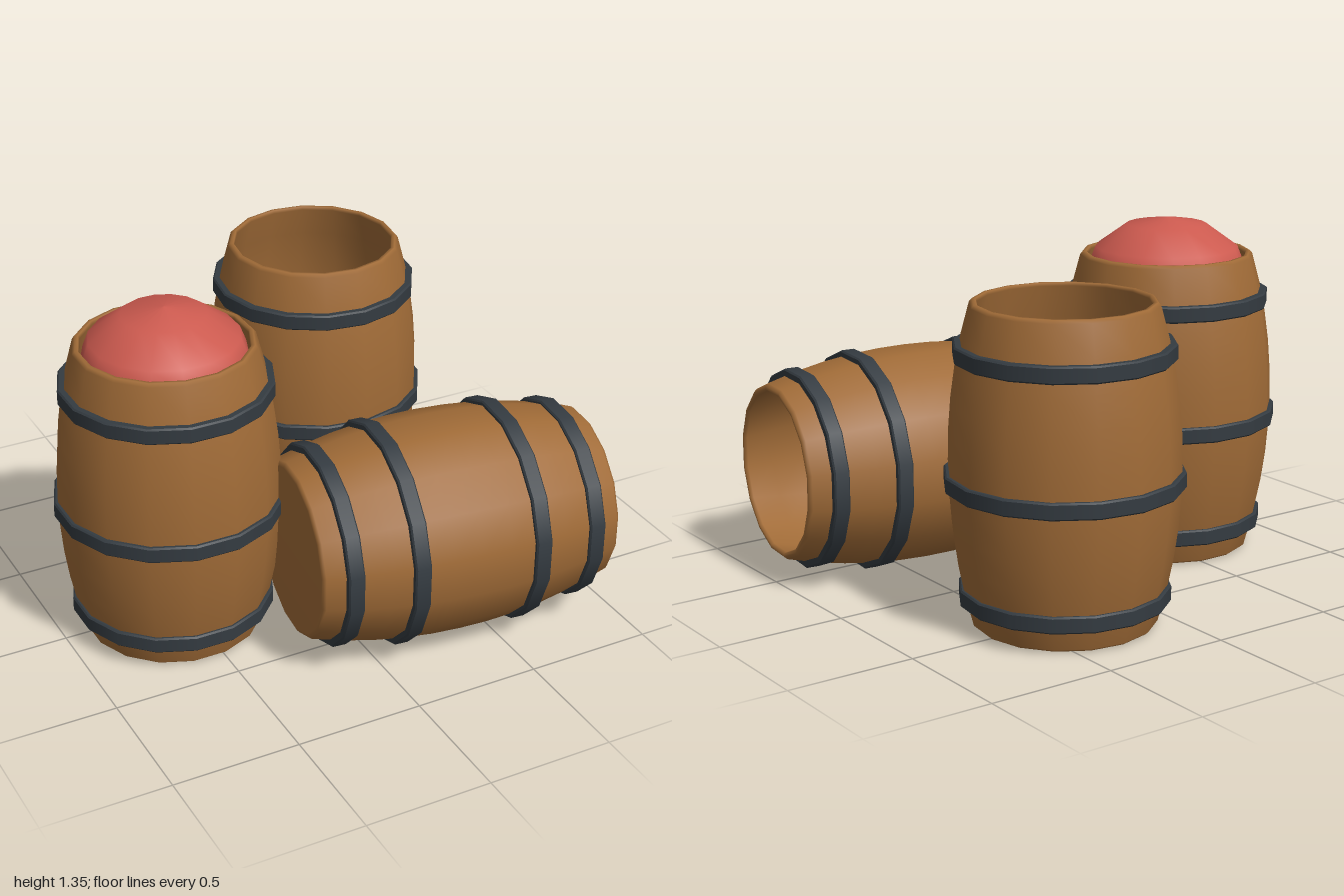
import * as THREE from 'three';

const SIDES = 16;
const HEIGHT = 1.21;

const wood = new THREE.MeshStandardMaterial({ color: 0xa06b37 });
wood.name = 'wood';
const iron = new THREE.MeshStandardMaterial({ color: 0x343b41 });
iron.name = 'iron';
const red = new THREE.MeshStandardMaterial({ color: 0xcc5a4f });
red.name = 'red';

const lathe = (points) =>
  new THREE.LatheGeometry(points.map(([r, y]) => new THREE.Vector2(r, y)), SIDES);

function part(name, geometry, material) {
  const mesh = new THREE.Mesh(geometry, material);
  mesh.name = name;
  return mesh;
}

// Bulging stave radius at a given height
function staveRadius(y) {
  const t = Math.abs((y - HEIGHT / 2) / (HEIGHT / 2));
  return 0.43 - 0.088 * Math.pow(t, 2.1);
}

// Outer wall, rim, inner wall and floor in one closed profile
function barrelBody() {
  const outer = [];
  const inner = [];
  const steps = 10;
  for (let i = 0; i <= steps; i++) {
    const y = 0.012 + ((HEIGHT - 0.024) * i) / steps;
    outer.push([staveRadius(y), y]);
    if (y > 0.1) inner.unshift([staveRadius(y) - 0.028, y]);
  }
  return lathe([
    [0, 0], [0.325, 0], [0.335, 0.003],
    ...outer,
    [0.335, HEIGHT], [0.322, HEIGHT],
    ...inner,
    [0.33, 0.06], [0, 0.06],
  ]);
}

// Rectangular hoop; doubled corners keep its edges sharp
function hoop(y) {
  const r = Math.min(staveRadius(y) + 0.02, 0.446);
  const inner = r - 0.05;
  const lo = y - 0.032;
  const hi = y + 0.032;
  const b = 0.006;
  return lathe([
    [inner, lo], [r - b, lo], [r - b, lo], [r, lo + b],
    [r, lo + b], [r, hi - b], [r, hi - b],
    [r - b, hi], [r - b, hi], [inner, hi],
  ]);
}

function barrel(name, hoopHeights) {
  const group = new THREE.Group();
  group.name = name;
  group.add(part('barrelBody', barrelBody(), wood));
  hoopHeights.forEach((y) => group.add(part('hoop', hoop(y), iron)));
  return group;
}

export function createModel() {
  const model = new THREE.Group();
  model.name = 'barrels';
  const uprightHoops = [0.12, 0.555, 1.03];

  // Upright barrel with a heaped red filling
  const full = barrel('fullBarrel', uprightHoops);
  full.position.set(-0.56, 0.006, 0.04);
  full.rotation.y = Math.PI / SIDES;
  full.add(part('filling', lathe([
    [0.318, 1.12], [0.308, 1.17], [0.285, 1.23], [0.16, 1.32], [0, 1.348],
  ]), red));
  model.add(full);

  // Upright empty barrel
  const empty = barrel('emptyBarrel', uprightHoops);
  empty.position.set(0.336, 0.006, -0.5);
  empty.rotation.y = 0.05;
  model.add(empty);

  // Barrel lying on its side, open end towards +x
  const mid = HEIGHT / 2;
  const lying = barrel('lyingBarrel', [mid - 0.49, mid - 0.245, mid + 0.245, mid + 0.49]);
  lying.children.forEach((mesh) => {
    mesh.position.y = -mid;
    mesh.rotation.y = Math.PI / SIDES;
  });
  lying.position.set(0.36, 0.433, 0.487);
  lying.rotation.set(0, -0.106, -Math.PI / 2);
  model.add(lying);

  return model;
}
